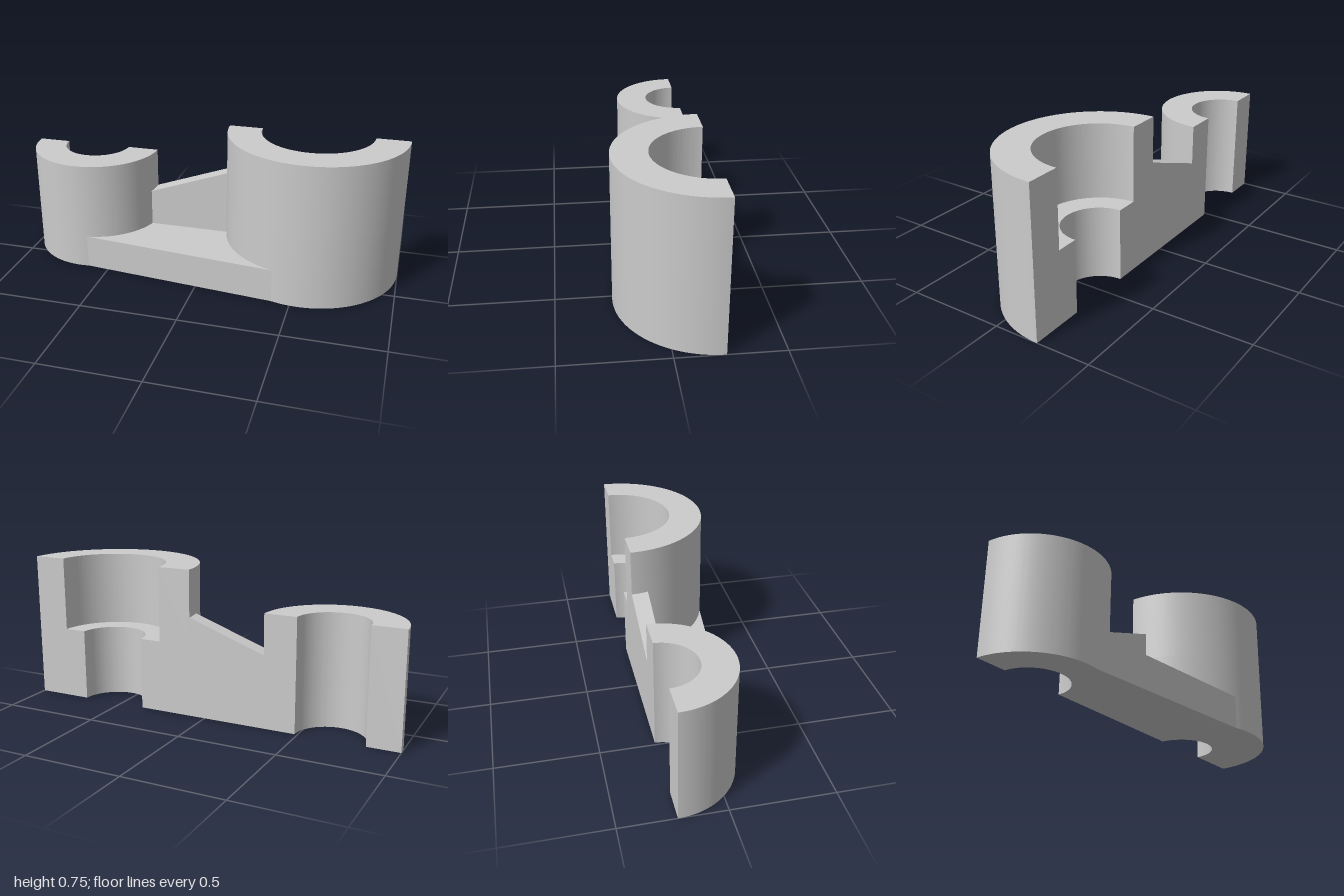
import * as THREE from 'three';
import { toCreasedNormals } from 'three/addons/utils/BufferGeometryUtils.js';

const CUT_Z = -0.23; // flat section plane at the back
const PLATE_H = 0.175;
const SMALL = { x: -0.66, r: 0.34, hole: 0.175, h: 0.575 };
const BIG = { x: 0.54, r: 0.46, hole: 0.175, bore: 0.2875, step: 0.37, h: 0.75 };

export function createModel() {
  const group = new THREE.Group();
  const material = new THREE.MeshStandardMaterial({ color: 0xcccccc });

  const add = (name, geometry) => {
    const mesh = new THREE.Mesh(toCreasedNormals(geometry, 0.15), material);
    mesh.name = name;
    group.add(mesh);
  };

  // Extrude a plan outline (x, distance in front of the cut) from y0 up to y1
  const extrudeUp = (name, shape, y0, y1) => {
    const geometry = new THREE.ExtrudeGeometry(shape, {
      depth: y1 - y0, bevelEnabled: false, curveSegments: 56,
    });
    geometry.rotateX(Math.PI / 2).translate(0, y1, CUT_Z);
    add(name, geometry);
  };

  const halfRing = (x, outer, inner) => {
    const shape = new THREE.Shape();
    shape.absarc(x, 0, outer, 0, Math.PI, false);
    shape.absarc(x, 0, inner, Math.PI, 0, true);
    shape.closePath();
    return shape;
  };

  // Half bosses; the larger one has a counterbore
  extrudeUp('smallBoss', halfRing(SMALL.x, SMALL.r, SMALL.hole), 0, SMALL.h);
  extrudeUp('largeBossLower', halfRing(BIG.x, BIG.r, BIG.hole), 0, BIG.step);
  extrudeUp('largeBossUpper', halfRing(BIG.x, BIG.r, BIG.bore), BIG.step, BIG.h);

  // Base plate between the bosses, bounded by both outer arcs
  const smallAngle = Math.acos((-0.615 - SMALL.x) / SMALL.r);
  const bigAngle = Math.acos((0.405 - BIG.x) / BIG.r);
  const plate = new THREE.Shape();
  plate.absarc(SMALL.x, 0, SMALL.r, 0, smallAngle, false);
  plate.absarc(BIG.x, 0, BIG.r, bigAngle, Math.PI, false);
  plate.closePath();
  extrudeUp('basePlate', plate, 0, PLATE_H);

  // Sloping rib along the cut, its ends sunk slightly into the bosses
  const rib = new THREE.Shape([
    [-0.34, PLATE_H], [0.1, PLATE_H], [0.1, 0.52], [-0.34, 0.363],
  ].map(([x, y]) => new THREE.Vector2(x, y)));
  const ribGeometry = new THREE.ExtrudeGeometry(rib, { depth: 0.085, bevelEnabled: false });
  add('slopingRib', ribGeometry.translate(0, 0, CUT_Z));

  return group;
}
